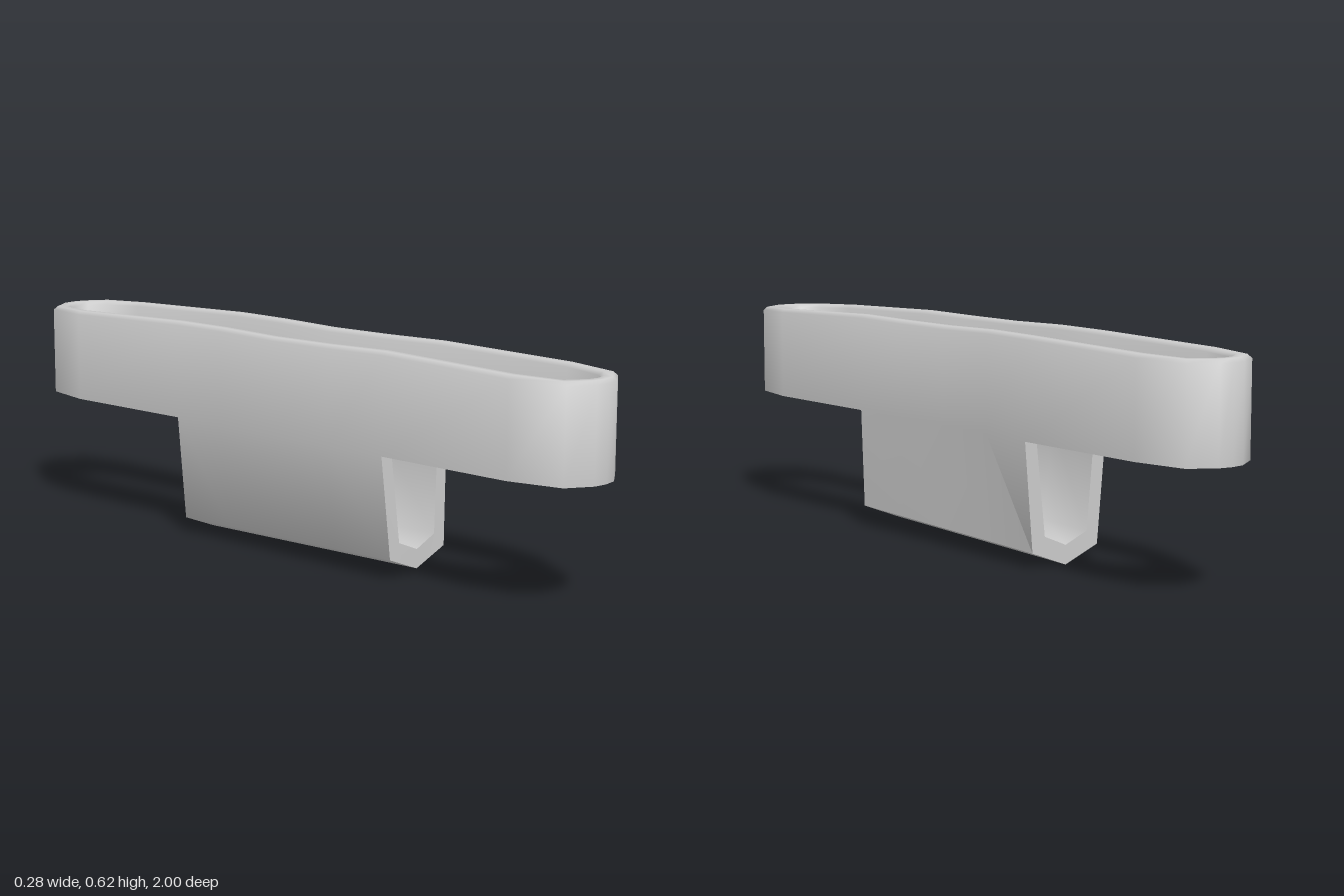
import * as THREE from 'three';
import { mergeGeometries, toCreasedNormals } from 'three/addons/utils/BufferGeometryUtils.js';

const BOTTOM = 0.34;

// Side walls from back to front: z, left outer/inner x, right outer/inner x, rim height
const WALLS = [
  [-0.8, -0.14, -0.1, 0.135, 0.097, 0.603],
  [-0.38, -0.135, -0.095, 0.138, 0.1, 0.614],
  [-0.2, -0.14, -0.103, 0.127, 0.088, 0.615],
  [0, -0.143, -0.107, 0.123, 0.082, 0.611],
  [0.2, -0.141, -0.104, 0.124, 0.085, 0.612],
  [0.39, -0.136, -0.096, 0.127, 0.09, 0.615],
  [0.8, -0.14, -0.104, 0.135, 0.1, 0.604],
];
// Rounded end, from one side to the other: outer x, z, inner x, z
const END = [
  [-0.108, 0.95, -0.075, 0.915],
  [-0.04, 0.994, -0.028, 0.95],
  [0, 1, 0, 0.957],
  [0.04, 0.994, 0.028, 0.95],
  [0.108, 0.95, 0.075, 0.915],
];

function build(points, quads) {
  const geo = new THREE.BufferGeometry();
  geo.setAttribute('position', new THREE.Float32BufferAttribute(points.flat(), 3));
  geo.setIndex(quads.flatMap(([a, b, c, d]) => [a, b, c, a, c, d]));
  return geo;
}

// Oblong loop wall with softened rim; its underside is left open above the trough
function loopWall() {
  const left = WALLS.map(([z, lo, li, , , top]) => [lo, z, li, z, top]);
  const right = WALLS.map(([z, , , ro, ri, top]) => [ro, z, ri, z, top]).reverse();
  const front = END.map((e) => [...e, 0.6]);
  const back = END.map(([a, b, c, d]) => [-a, -b, -c, -d, 0.6]);
  const path = [...left, ...front, ...right, ...back];
  const points = path.flatMap(([ox, oz, ix, iz, top]) =>
    [[0, BOTTOM], [0, top - 0.01], [0.25, top], [0.75, top], [1, top - 0.01], [1, BOTTOM]]
      .map(([t, y]) => [ox + (ix - ox) * t, y, oz + (iz - oz) * t]));
  const quads = [];
  path.forEach((station, i) => {
    const next = (i + 1) % path.length;
    const overTrough = Math.abs(station[1]) < 0.4 && Math.abs(path[next][1]) < 0.4;
    for (let j = 0; j < 6; j++) {
      if (j === 5 && overTrough) continue;
      const k = (j + 1) % 6;
      quads.push([i * 6 + j, next * 6 + j, next * 6 + k, i * 6 + k]);
    }
  });
  return build(points, quads);
}

// V-bottomed trough hanging from the middle of the loop, open at both ends
function trough() {
  const stations = WALLS.slice(1, -1);
  const points = stations.flatMap(([z, lo, li, ro, ri]) => {
    const lift = (z + 0.38) * 0.02;
    const section = [
      [lo, BOTTOM], [-0.108, 0.043], [0, 0], [0.112, 0.043], [ro, BOTTOM],
      [ri, BOTTOM], [0.071, 0.083], [0, 0.053], [-0.072, 0.083], [li, BOTTOM],
    ];
    return section.map(([x, y]) => [x, y === BOTTOM ? y : y + lift, z + (y < 0.1 && z > 0.3 ? 0.008 : 0)]);
  });
  const quads = [];
  for (let i = 0; i < stations.length - 1; i++) {
    for (let j = 0; j < 9; j++) {
      if (j === 4) continue;
      const a = i * 10 + j;
      quads.push([a, a + 1, a + 11, a + 10]);
    }
  }
  // End faces
  const f = (stations.length - 1) * 10;
  for (let k = 0; k < 4; k++) {
    quads.push([f + k, f + k + 1, f + 8 - k, f + 9 - k]);
    quads.push([9 - k, 8 - k, k + 1, k]);
  }
  return build(points, quads);
}

export function createModel() {
  const group = new THREE.Group();
  group.name = 'loopWithTrough';
  const geometry = toCreasedNormals(mergeGeometries([loopWall(), trough()]), 1.15);
  const body = new THREE.Mesh(geometry, new THREE.MeshStandardMaterial({ color: 0xcccccc }));
  body.name = 'loopAndTroughBody';
  group.add(body);
  return group;
}
